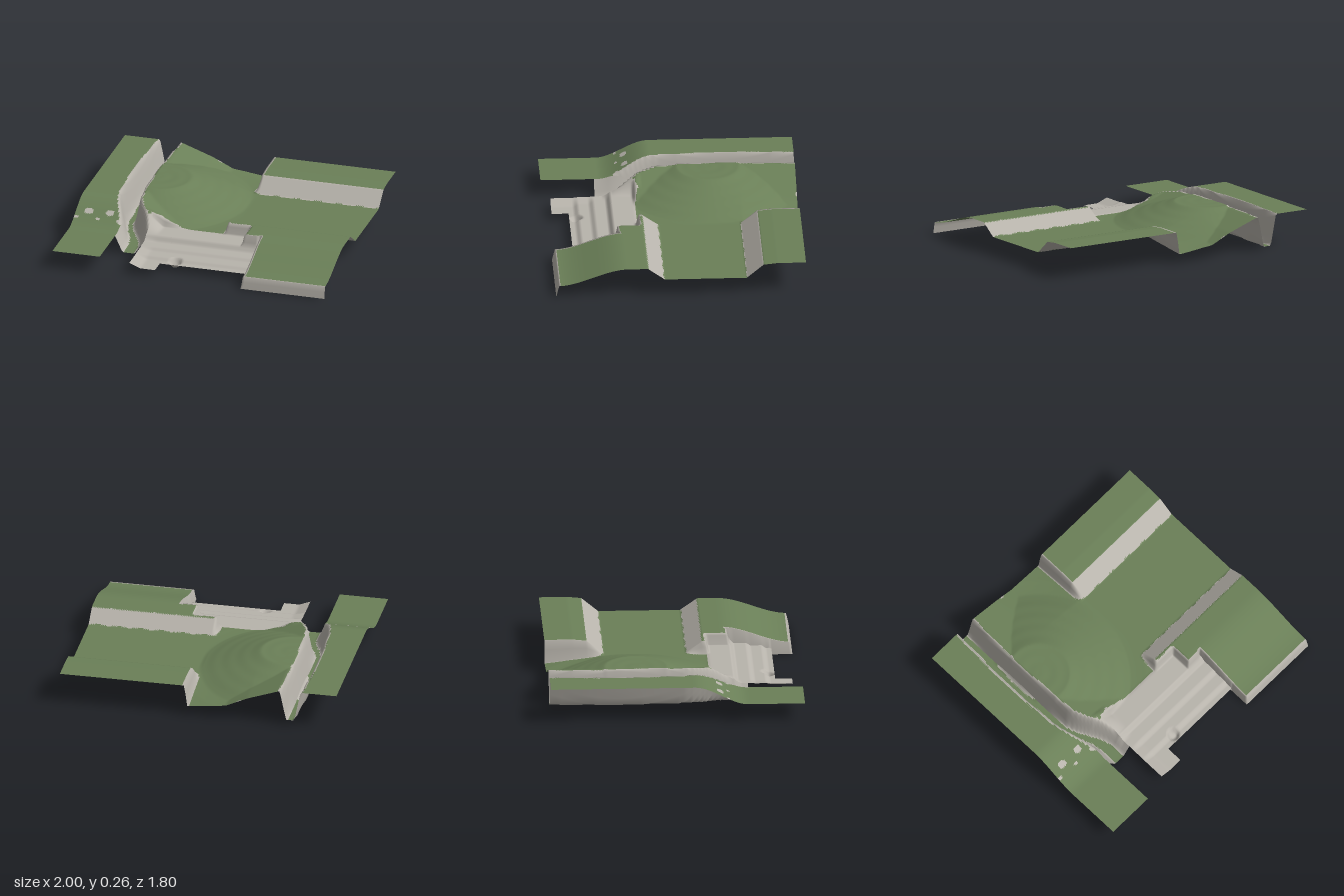
import * as THREE from 'three';

const ramp = (a, b, t) => Math.min(1, Math.max(0, (t - a) / (b - a)));
const smooth = (a, b, t) => { const k = ramp(a, b, t); return k * k * (3 - 2 * k); };
const lerp = THREE.MathUtils.lerp;

// Paved forecourt: outline and stepped levels
const isPaved = (x, z) => z > 0.25 && x > -0.45 && (x < 0.27 || (z > 0.4 && x < 0.385));

function pavingHeight(x, z) {
  const steps = 0.125 - 0.035 * ramp(0.42, 0.45, z) - 0.02 * ramp(0.54, 0.57, z) - 0.02 * ramp(0.65, 0.68, z);
  const sump = Math.hypot(x + 0.16, z - 0.67);
  return steps - 0.03 * ramp(0.045, 0.025, sump);
}

// Upper level west of the ditch, sloping down to the front
const bankHeight = z => 0.26 - 0.13 * smooth(0.12, 0.5, z);

// Round hill merged with a ridge along the ditch
function hillHeight(x, z) {
  const r = Math.hypot(x + 0.55, z + 0.28);
  const cone = 0.142 * ramp(0.65, 0.22, r) + 0.0008 * Math.sin(r * 60);
  const ridge = 0.135 * ramp(-0.2, -0.58, x);
  const back = 0.05 * ramp(-0.5, -0.9, z) * ramp(-0.35, 0.06, x);
  return 0.12 - back + Math.max(cone, ridge);
}

// Valley floor with the raised terraces on the east side
function eastHeight(x, z) {
  const wall = ramp(0.08, 0.1, x);
  const plateau = 0.1 * ramp(-0.48, -0.6, z) + 0.01 * ramp(-0.6, -0.7, z);
  const terrace = 0.085 * ramp(0.1, 0.22, z) - 0.12 * smooth(0.36, 0.86, z);
  return lerp(hillHeight(x, z), 0.12 + plateau + terrace, wall);
}

// Land east of the ditch, with the paving cut into it
function groundHeight(x, z) {
  const land = eastHeight(x, z);
  if (x > 0.379) {
    // retaining edge beside the paving and along the front
    const low = z > 0.72 ? 0 : z > 0.4 ? pavingHeight(x, z) : land;
    return lerp(low, land, ramp(0.38, 0.392, x)) * ramp(0.87, 0.852, z);
  }
  const cut = x < 0.27 ? ramp(0.245, 0.262, z) * ramp(0.27, 0.255, x) : 0;
  const lowerCut = ramp(0.4, 0.415, z);
  const paved = lerp(land, pavingHeight(x, z), Math.max(cut, lowerCut));
  // sloping shoulder between ditch and paving
  const shoulder = lerp(0.25, 0.09, ramp(0.2, 0.47, z));
  return lerp(paved, Math.max(paved, shoulder), ramp(0.2, 0.26, z) * ramp(-0.37, -0.47, x));
}

// Whole surface: bank, ditch and ground
function height(x, z) {
  const bend = smooth(0.05, 0.42, z);
  const centre = lerp(-0.665 - 0.02 * Math.sin(Math.PI * ramp(-0.9, 0.1, z)), -0.55, bend);
  const side = x < centre ? bankHeight(z) : groundHeight(x, z);
  const bed = 0.035 - 0.025 * ramp(0.1, 0.5, z);
  const t = ramp(lerp(0.03, 0.045, bend), lerp(0.075, 0.1, bend), Math.abs(x - centre));
  return lerp(bed, side, t);
}

const grass = new THREE.MeshStandardMaterial({ color: 0x6b8058, side: THREE.DoubleSide });
const stone = new THREE.MeshStandardMaterial({ color: 0xb8b4ac, side: THREE.DoubleSide });

// One rectangle of land, split into grass and stone by steepness
function landStrip(name, x0, x1, z0, z1) {
  const nx = Math.round((x1 - x0) / 0.0125), nz = Math.round((z1 - z0) / 0.01);
  const geo = new THREE.PlaneGeometry(x1 - x0, z1 - z0, nx, nz).rotateX(-Math.PI / 2);
  geo.translate((x0 + x1) / 2, 0, (z0 + z1) / 2);
  const pos = geo.attributes.position;
  for (let i = 0; i < pos.count; i++) pos.setY(i, height(pos.getX(i), pos.getZ(i)));
  geo.computeVertexNormals();
  const normal = geo.attributes.normal, index = geo.index.array;
  const grassFaces = [], stoneFaces = [];
  for (let i = 0; i < index.length; i += 3) {
    const face = [index[i], index[i + 1], index[i + 2]];
    const mean = f => face.reduce((sum, v) => sum + f(v), 0) / 3;
    const x = mean(v => pos.getX(v)), z = mean(v => pos.getZ(v)), up = mean(v => normal.getY(v));
    const limit = 0.88 + 0.03 * Math.sin(41 * x + 1) * Math.sin(47 * z);
    (isPaved(x, z) || up < limit ? stoneFaces : grassFaces).push(...face);
  }
  const group = new THREE.Group();
  group.name = name;
  for (const [label, faces, material] of [['Grass', grassFaces, grass], ['Stone', stoneFaces, stone]]) {
    if (!faces.length) continue;
    const part = new THREE.BufferGeometry();
    part.setAttribute('position', pos);
    part.setAttribute('normal', normal);
    part.setIndex(faces);
    const mesh = new THREE.Mesh(part, material);
    mesh.name = name + label;
    group.add(mesh);
  }
  return group;
}

export function createModel() {
  const model = new THREE.Group();
  model.name = 'terrain';
  model.add(
    landStrip('westBank', -1, -0.65, -0.9, 0.9),
    landStrip('ditch', -0.65, -0.45, -0.9, 0.52),
    landStrip('hillAndPavedSpur', -0.45, -0.26, -0.9, 0.84),
    landStrip('valleyAndForecourt', -0.26, 0.38, -0.9, 0.72),
    landStrip('eastTerraces', 0.38, 1, -0.9, 0.87),
  );
  return model;
}
